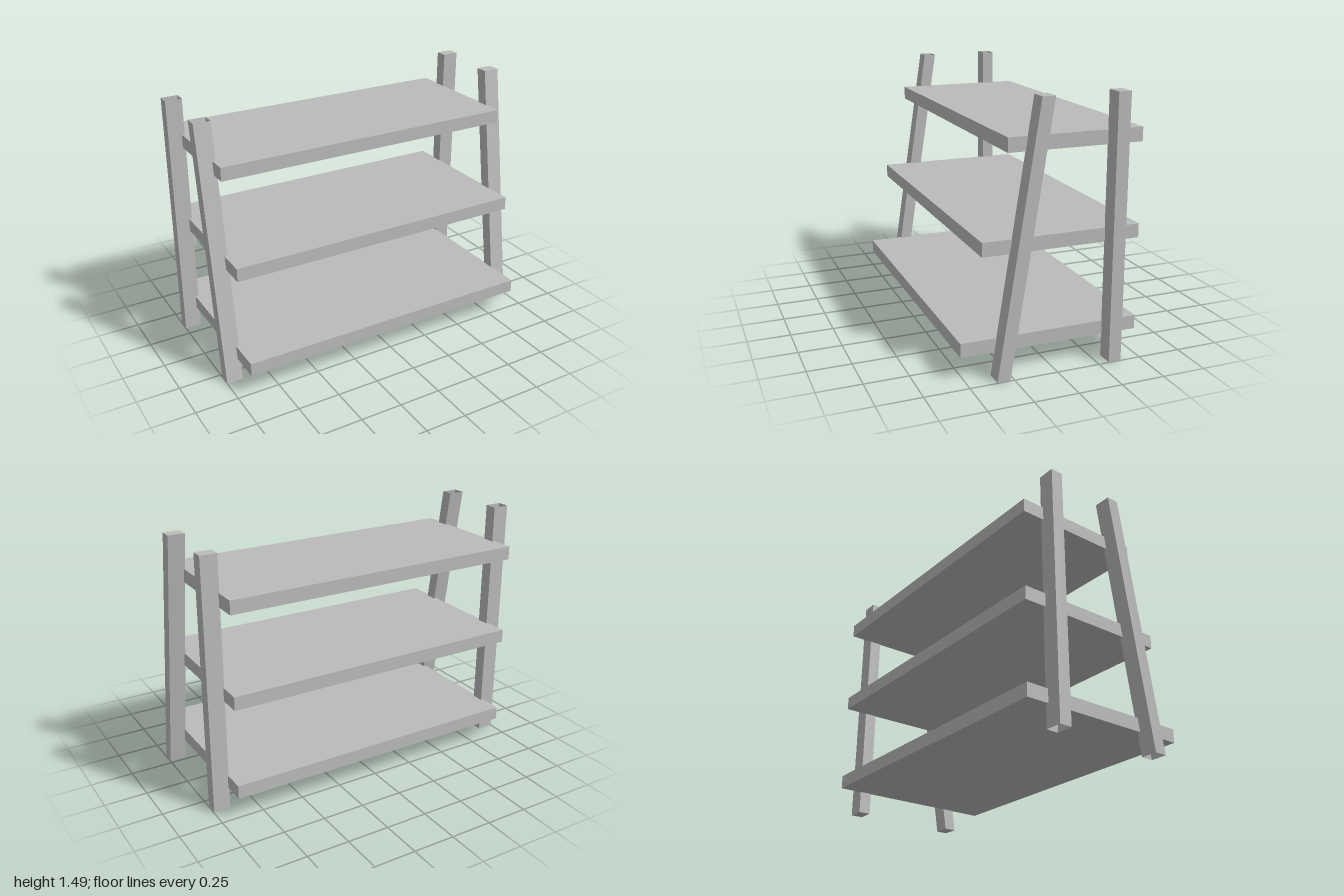
import * as THREE from 'three';

const HEIGHT = 1.49;
const POST_WIDTH = 0.098;
const POST_DEPTH = 0.073;

// Post whose centre line runs from zBottom on the floor to zTop, with level ends
function postGeometry(zBottom, zTop, open) {
  const g = new THREE.BoxGeometry(POST_WIDTH, HEIGHT, POST_DEPTH);
  g.translate(0, HEIGHT / 2, 0);
  const p = g.attributes.position;
  for (let i = 0; i < p.count; i++) {
    p.setZ(i, p.getZ(i) + THREE.MathUtils.lerp(zBottom, zTop, p.getY(i) / HEIGHT));
  }
  if (open) {
    // hollow tube: drop the top and bottom faces
    const idx = Array.from(g.index.array);
    g.setIndex([...idx.slice(0, 12), ...idx.slice(24)]);
    g.clearGroups();
  }
  g.computeVertexNormals();
  return g;
}

export function createModel() {
  const model = new THREE.Group();
  model.name = 'shelfUnit';
  const grey = new THREE.MeshStandardMaterial({ color: 0xbbbbbb, side: THREE.DoubleSide });
  grey.name = 'grey';

  const add = (name, geometry, x = 0, y = 0, z = 0) => {
    const mesh = new THREE.Mesh(geometry, grey);
    mesh.name = name;
    mesh.position.set(x, y, z);
    model.add(mesh);
  };

  // Posts: capped on the left, open-ended on the right
  for (const [side, x, open] of [['left', 0.948, false], ['right', -0.951, true]]) {
    add(side + 'BackPost', postGeometry(-0.347, -0.347, open), x);
    add(side + 'FrontPost', postGeometry(0.31, 0.077, open), x);
  }

  // Shelves, shallower towards the top, flush at the back
  const back = -0.517;
  const shelves = [['bottomShelf', 0.17, 0.517], ['middleShelf', 0.706, 0.396], ['topShelf', 1.24, 0.256]];
  for (const [name, y, front] of shelves) {
    add(name, new THREE.BoxGeometry(1.824, 0.079, front - back), -0.008, y, (front + back) / 2);
  }
  return model;
}
